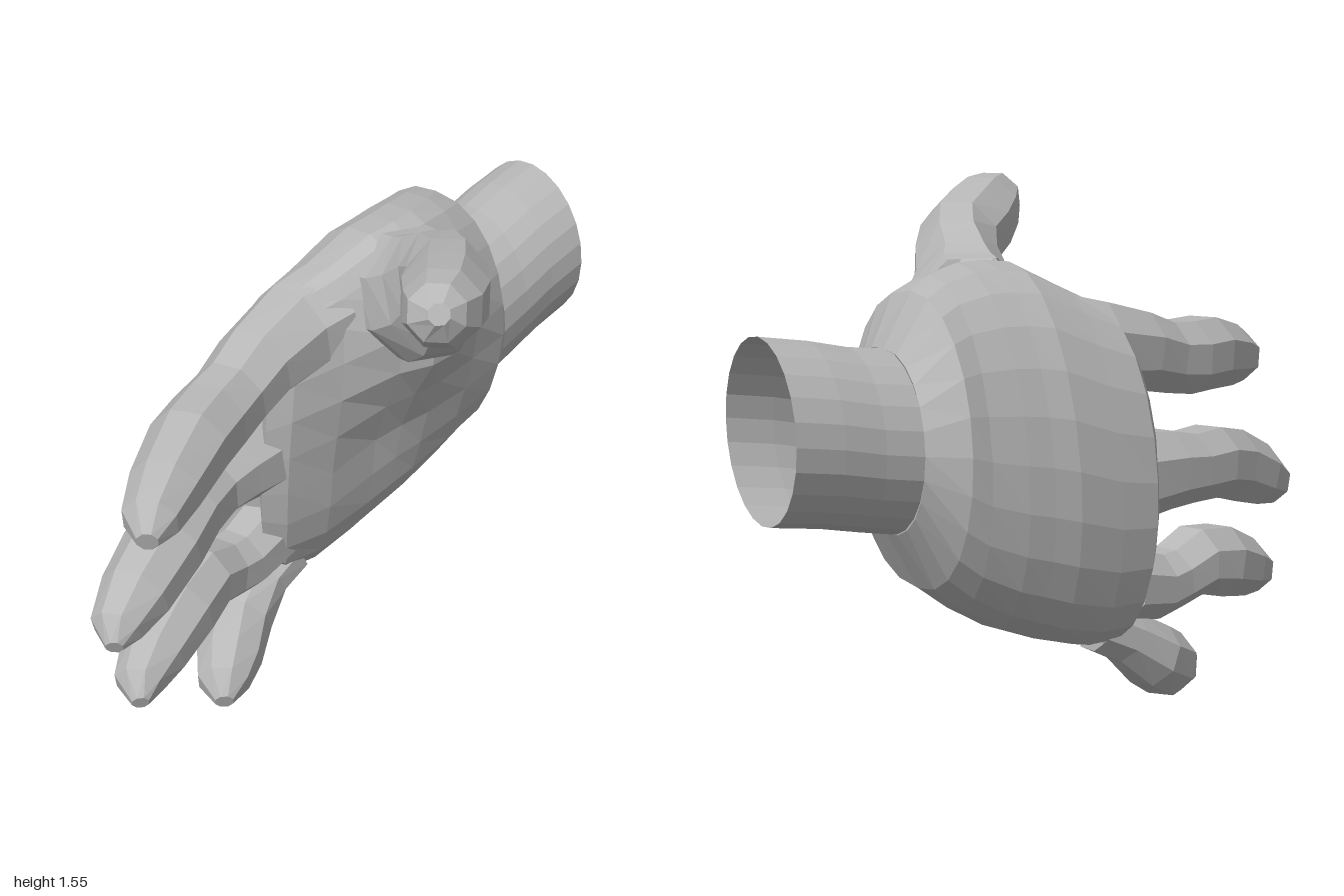
import * as THREE from 'three';

const skin = new THREE.MeshStandardMaterial({ color: 0xb8b8b8, flatShading: true, side: THREE.DoubleSide });
skin.name = 'plain grey';

// Skin a list of equal-sized rings; optionally close the last one
function loft(name, rings, capEnd) {
  const n = rings[0].length, pos = [], idx = [];
  rings.forEach(r => r.forEach(p => pos.push(p.x, p.y, p.z)));
  for (let i = 0; i < rings.length - 1; i++) {
    for (let j = 0; j < n; j++) {
      const a = i * n + j, b = i * n + (j + 1) % n;
      idx.push(a, b, b + n, a, b + n, a + n);
    }
  }
  if (capEnd) {
    const last = rings[rings.length - 1], c = new THREE.Vector3();
    last.forEach(p => c.addScaledVector(p, 1 / n));
    pos.push(c.x, c.y, c.z);
    const o = (rings.length - 1) * n;
    for (let j = 0; j < n; j++) idx.push(o + j, o + (j + 1) % n, rings.length * n);
  }
  const g = new THREE.BufferGeometry();
  g.setAttribute('position', new THREE.Float32BufferAttribute(pos, 3));
  g.setIndex(idx);
  g.computeVertexNormals();
  const mesh = new THREE.Mesh(g, skin);
  mesh.name = name;
  return mesh;
}

// Tapering digit along points [x, y, z, radius, height radius if different]
function digit(name, pts, sides = 8) {
  const P = pts.map(p => new THREE.Vector3(p[0], p[1], p[2]));
  const up = new THREE.Vector3(0, 1, 0);
  const rings = P.map((c, i) => {
    const t = P[Math.min(i + 1, P.length - 1)].clone().sub(P[Math.max(i - 1, 0)]).normalize();
    const u = up.clone().cross(t).normalize(), v = t.clone().cross(u);
    const [, , , r, h = r] = pts[i];
    return Array.from({ length: sides }, (_, j) => {
      const a = (j + 0.5) / sides * Math.PI * 2;
      return c.clone().addScaledVector(u, Math.cos(a) * r * 1.04).addScaledVector(v, Math.sin(a) * h * 1.04);
    });
  });
  return loft(name, rings, true);
}

// Soft bump of height 1 at (cx, cy)
const bump = (x, y, cx, cy, wx, wy) => Math.exp(-(((x - cx) / wx) ** 2) - ((y - cy) / wy) ** 2);

// Hand section: front arc from bottom edge to top edge, then back arc down again
function section([x, yTop, zTop, yBot, zBot, front, back, frontBow, backBow]) {
  const half = 12;
  return Array.from({ length: half * 2 }, (_, j) => {
    const a = j / half * Math.PI, s = (1 - Math.cos(a)) / 2, w = Math.sin(a);
    const y = yBot + (yTop - yBot) * s;
    // Ball of the thumb and hollow of the palm on the front side
    const relief = 0.1 * bump(x, y, 0.25, 1.06, 0.16, 0.16) - 0.04 * bump(x, y, 0.15, 0.68, 0.2, 0.16);
    const bulge = w >= 0 ? front * Math.pow(w, 0.85) + relief : -back * Math.pow(-w, 0.9);
    return new THREE.Vector3(
      x - Math.abs(w) * (w >= 0 ? frontBow : backBow), y,
      zBot + (zTop - zBot) * s + bulge);
  });
}

export function createModel() {
  const model = new THREE.Group();
  model.name = 'hand';

  // Open forearm stub: x, centre y, centre z, radius
  const wrist = [[1, 0.99, -0.40, 0.25], [0.85, 0.965, -0.365, 0.25], [0.72, 0.935, -0.33, 0.25],
    [0.6, 0.915, -0.30, 0.255]];
  model.add(loft('wrist', wrist.map(([x, y, z, r]) => Array.from({ length: 24 }, (_, j) => {
    const a = j / 24 * Math.PI * 2;
    return new THREE.Vector3(x, y - Math.cos(a) * r, z + Math.sin(a) * r);
  })), false));

  // Palm and back of the hand: x, top y z, bottom y z, front and back bulge, front and back bow toward the fingers
  const palm = [
    [0.6, 1.17, -0.30, 0.66, -0.30, 0.255, 0.255, 0, 0],
    [0.515, 1.32, -0.29, 0.50, -0.32, 0.265, 0.30, -0.07, 0.03],
    [0.42, 1.35, -0.21, 0.43, -0.30, 0.24, 0.335, -0.02, 0],
    [0.30, 1.37, -0.14, 0.36, -0.28, 0.21, 0.36, 0, 0],
    [0.21, 1.37, -0.11, 0.325, -0.265, 0.19, 0.36, 0, 0],
    [0.12, 1.36, -0.10, 0.29, -0.25, 0.17, 0.355, 0, 0],
    [-0.02, 1.29, -0.11, 0.25, -0.23, 0.15, 0.30, 0.03, 0.03],
    [-0.12, 1.24, -0.13, 0.25, -0.22, 0.13, 0.245, 0.09, 0.07],
    [-0.18, 1.17, -0.12, 0.30, -0.21, 0.08, 0.11, 0.10, 0.10],
  ].map(section);
  model.add(loft('palm', palm, true));

  // Digits
  model.add(digit('indexFinger', [[0.0, 1.125, -0.15, 0.15], [-0.12, 1.105, -0.145, 0.14], [-0.3, 1.075, -0.085, 0.12],
    [-0.42, 1.04, -0.03, 0.11], [-0.53, 1.025, 0.025, 0.115], [-0.65, 1.02, 0.10, 0.115], [-0.8, 0.99, 0.21, 0.1],
    [-0.9, 0.965, 0.29, 0.078], [-0.945, 0.945, 0.345, 0.03]]));
  model.add(digit('middleFinger', [[-0.2, 0.73, -0.2, 0.14], [-0.36, 0.725, -0.15, 0.12], [-0.46, 0.715, -0.115, 0.108],
    [-0.58, 0.71, -0.05, 0.112], [-0.7, 0.68, 0.03, 0.112], [-0.85, 0.62, 0.11, 0.1],
    [-0.95, 0.575, 0.165, 0.072], [-0.985, 0.55, 0.21, 0.025]]));
  model.add(digit('ringFinger', [[-0.18, 0.41, -0.22, 0.11], [-0.32, 0.38, -0.17, 0.1], [-0.40, 0.39, -0.14, 0.095],
    [-0.5, 0.42, -0.1, 0.105], [-0.62, 0.395, -0.04, 0.112], [-0.76, 0.345, 0.04, 0.095],
    [-0.85, 0.31, 0.1, 0.07], [-0.88, 0.285, 0.155, 0.025]]));
  model.add(digit('littleFinger', [[-0.1, 0.3, -0.23, 0.08], [-0.2, 0.25, -0.215, 0.08], [-0.31, 0.17, -0.18, 0.098],
    [-0.41, 0.11, -0.1, 0.1], [-0.48, 0.075, -0.03, 0.078], [-0.515, 0.05, 0.025, 0.028]]));
  model.add(digit('thumb', [[0.2, 1.19, -0.01, 0.18, 0.19], [0.18, 1.21, 0.07, 0.17, 0.19], [0.15, 1.26, 0.15, 0.14, 0.18],
    [0.125, 1.325, 0.23, 0.125, 0.16], [0.07, 1.375, 0.32, 0.12, 0.135], [-0.02, 1.41, 0.42, 0.125],
    [-0.12, 1.45, 0.53, 0.11], [-0.19, 1.485, 0.595, 0.08], [-0.215, 1.505, 0.635, 0.03]]));

  return model;
}
